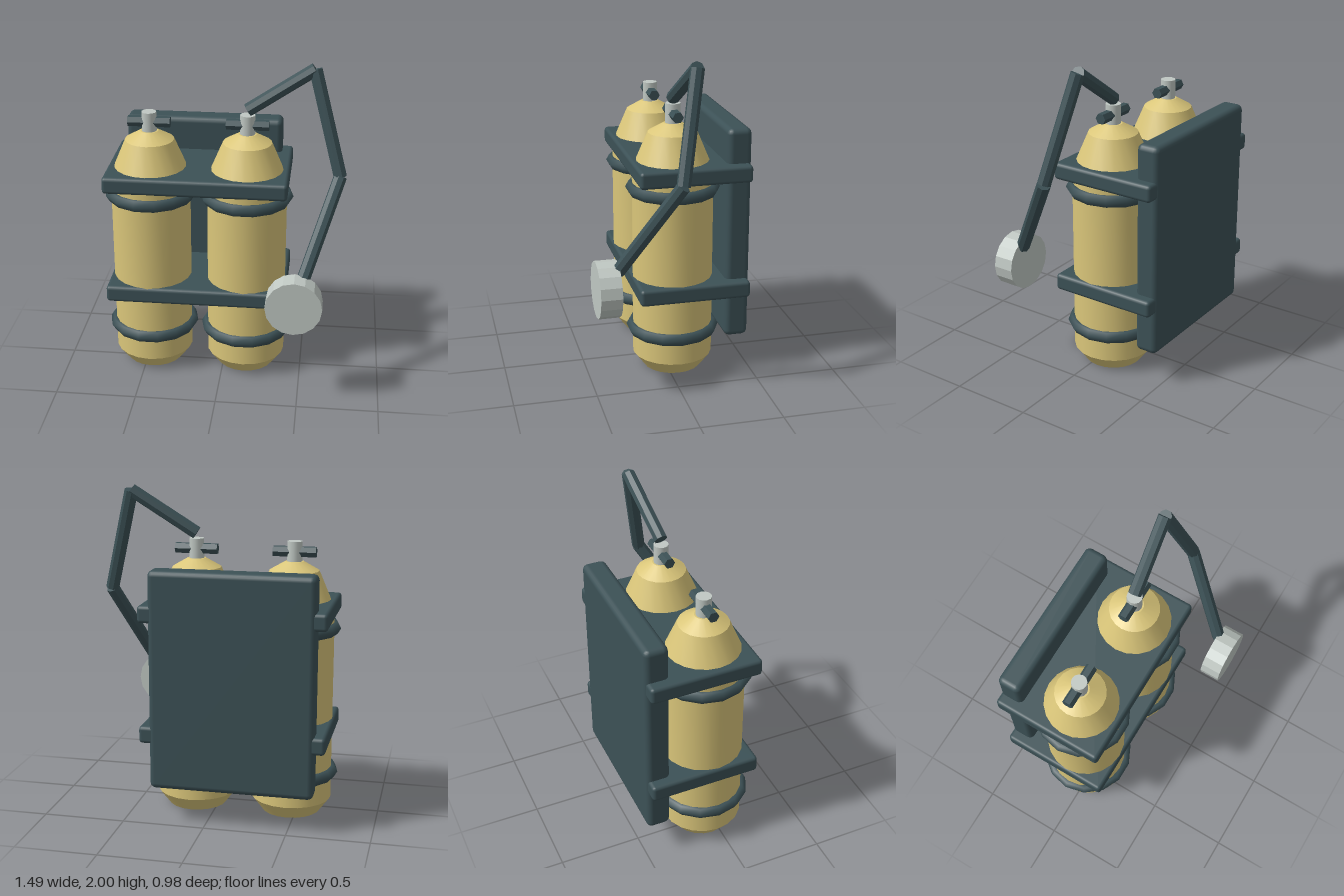
import * as THREE from 'three';
import { toCreasedNormals } from 'three/addons/utils/BufferGeometryUtils.js';
import { RoundedBoxGeometry } from 'three/addons/geometries/RoundedBoxGeometry.js';

const material = (name, color) => Object.assign(new THREE.MeshStandardMaterial({ color }), { name });

export function createModel() {
  const yellow = material('tank yellow', 0xdac67a);
  const dark = material('dark slate', 0x3c5156);
  const silver = material('pale metal', 0xc0c8c3);
  const model = new THREE.Group();
  model.name = 'twinTankBackpack';

  const add = (parent, name, geometry, mat, x, y, z) => {
    const mesh = new THREE.Mesh(geometry, mat);
    mesh.name = name;
    mesh.position.set(x, y, z);
    parent.add(mesh);
    return mesh;
  };

  // Back plate and the two shelves that hold the tanks
  add(model, 'backPlate', new RoundedBoxGeometry(0.99, 1.33, 0.148, 2, 0.035), dark, -0.16, 0.885, -0.415);
  for (const [name, y] of [['upperShelf', 1.287], ['lowerShelf', 0.552]]) {
    add(model, name, new RoundedBoxGeometry(1.12, 0.105, 0.685, 2, 0.022), dark, -0.16, y, -0.138);
  }

  // Tanks with rings, valve stem and handle
  const profile = [[0, 0], [0.18, 0], [0.2475, 0.09], [0.2475, 1.28], [0.15, 1.51], [0.055, 1.565], [0, 1.565]]
    .map(([r, y]) => new THREE.Vector2(r, y));
  const tankGeometry = toCreasedNormals(new THREE.LatheGeometry(profile, 20), 0.36);
  const ringGeometry = new THREE.TorusGeometry(0.2475, 0.04, 6, 14).rotateX(Math.PI / 2);
  const stemGeometry = new THREE.CylinderGeometry(0.046, 0.046, 0.135, 12);
  const handleGeometry = toCreasedNormals(
    new THREE.CylinderGeometry(0.034, 0.034, 0.26, 6).rotateZ(Math.PI / 2), 0.3);
  for (const [name, x] of [['rightTank', -0.46], ['leftTank', 0.14]]) {
    const tank = new THREE.Group();
    tank.name = name;
    tank.position.set(x, 0, -0.05);
    model.add(tank);
    add(tank, 'tankBody', tankGeometry, yellow, 0, 0, 0);
    add(tank, 'lowerRing', ringGeometry, dark, 0, 0.26, 0);
    add(tank, 'upperRing', ringGeometry, dark, 0, 1.167, 0);
    add(tank, 'valveStem', stemGeometry, silver, 0, 1.617, 0);
    add(tank, 'valveHandle', handleGeometry, dark, 0, 1.622, 0);
  }

  // Hose made of straight segments
  const points = [
    [0.14, 1.715, -0.05], [0.535, 1.968, -0.09], [0.707, 1.342, 0.03], [0.508, 0.79, 0.368],
  ].map((p) => new THREE.Vector3(...p));
  const up = new THREE.Vector3(0, 1, 0);
  for (let i = 0; i < 3; i++) {
    const dir = points[i + 1].clone().sub(points[i]);
    const mid = points[i].clone().add(points[i + 1]).multiplyScalar(0.5);
    const geometry = toCreasedNormals(new THREE.CylinderGeometry(0.041, 0.041, dir.length(), 8), 0.3);
    const segment = add(model, 'hoseSegment' + (i + 1), geometry, dark, mid.x, mid.y, mid.z);
    segment.quaternion.setFromUnitVectors(up, dir.normalize());
  }

  // Round mouthpiece at the hose end
  const disc = toCreasedNormals(new THREE.CylinderGeometry(0.171, 0.171, 0.128, 16).rotateX(Math.PI / 2), 0.2);
  add(model, 'mouthpiece', disc, silver, 0.465, 0.672, 0.426);

  return model;
}
